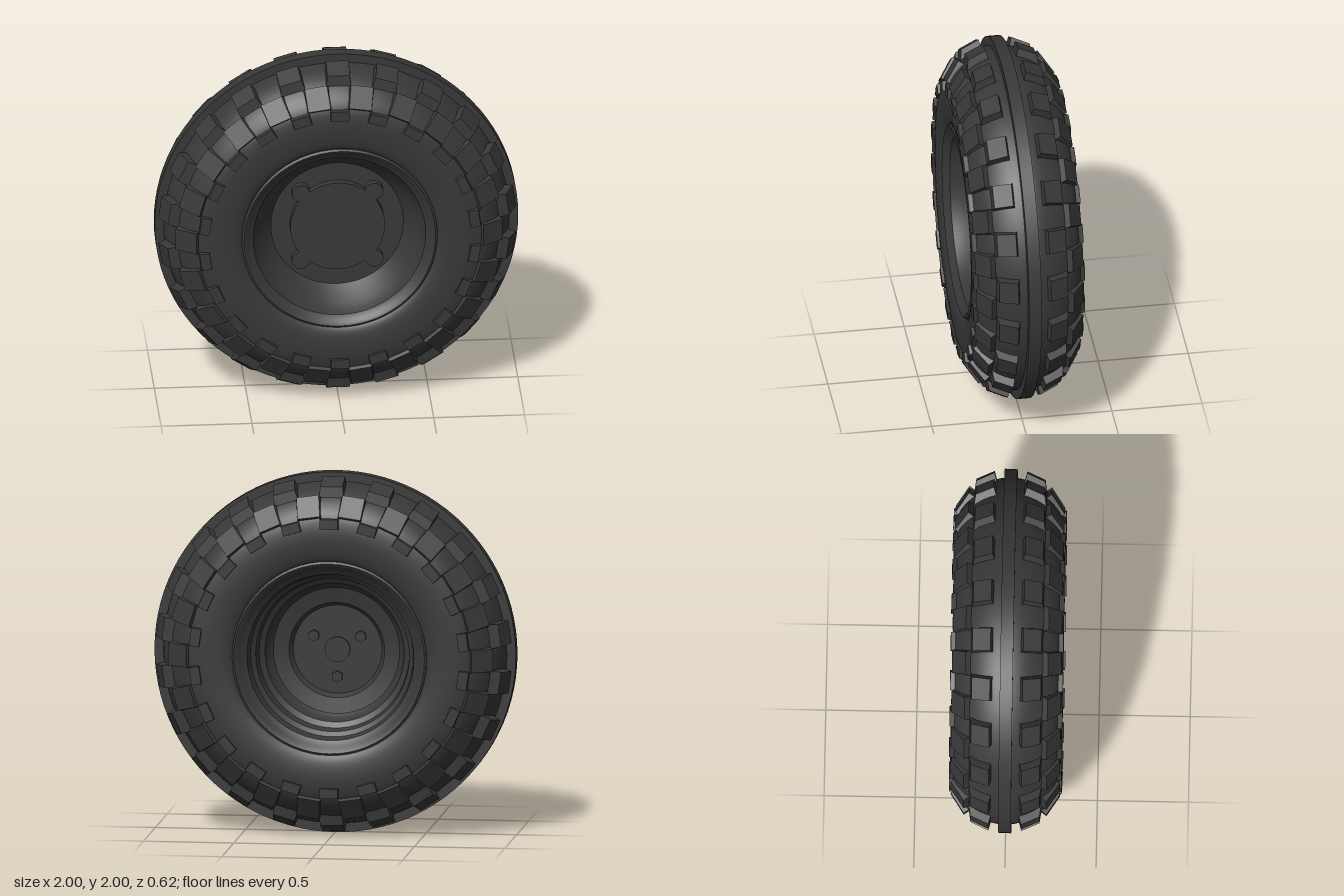
import * as THREE from 'three';
import { toCreasedNormals } from 'three/addons/utils/BufferGeometryUtils.js';

const rubber = new THREE.MeshStandardMaterial({ color: 0x383838 });
const BLOCKS = 22;

function add(parent, name, geometry) {
  const mesh = new THREE.Mesh(geometry, rubber);
  mesh.name = name;
  parent.add(mesh);
  return mesh;
}

// Revolve a profile of [radius, z] around the wheel axle (z)
function revolve(points, segments) {
  const profile = points.map(([r, z]) => new THREE.Vector2(r, z));
  return new THREE.LatheGeometry(profile, segments).rotateX(Math.PI / 2);
}

// Tread block at the top of the wheel: y = radius, inner and outer edges given as [r, z]
function treadBlock(outerA, outerB, baseA, baseB, halfWidth) {
  const g = new THREE.BoxGeometry(2, 2, 2);
  const p = g.attributes.position;
  for (let i = 0; i < p.count; i++) {
    const outer = p.getY(i) > 0;
    const [r, z] = p.getZ(i) > 0 ? (outer ? outerB : baseB) : (outer ? outerA : baseA);
    p.setXYZ(i, p.getX(i) * halfWidth * (outer ? 0.94 : 1.06), r, z);
  }
  const flat = g.toNonIndexed();
  flat.computeVertexNormals();
  return flat;
}

// Round cap outline with four ears on the diagonals
function capShape(R, earDistance, earRadius) {
  const shape = new THREE.Shape();
  const half = Math.acos((R * R + earDistance ** 2 - earRadius ** 2) / (2 * R * earDistance));
  const open = Math.atan2(R * Math.sin(half), R * Math.cos(half) - earDistance);
  for (let i = 0; i < 4; i++) {
    const a = Math.PI / 4 + i * Math.PI / 2;
    shape.absarc(earDistance * Math.cos(a), earDistance * Math.sin(a), earRadius, a - open, a + open, false);
    shape.absarc(0, 0, R, a + half, a + Math.PI / 2 - half, false);
  }
  return shape;
}

export function createModel() {
  const model = new THREE.Group();
  const wheel = new THREE.Group();
  wheel.name = 'wheel';
  wheel.position.y = 1;
  model.add(wheel);

  // Tyre carcass: smooth symmetric section from bead to bead
  const half = [[0.525, 0.255], [0.545, 0.28], [0.60, 0.296], [0.69, 0.3], [0.78, 0.283],
    [0.85, 0.235], [0.905, 0.165], [0.94, 0.085]];
  const section = [...half.map(([r, z]) => [r, -z]), [0.953, 0], ...half.slice().reverse()];
  const curve = new THREE.SplineCurve(section.map(([r, z]) => new THREE.Vector2(r, z)));
  add(wheel, 'tyre', revolve(curve.getPoints(48).map(v => [v.x, v.y]), 96));

  // Central rib around the tread
  const rib = revolve([[0.93, -0.035], [1, -0.035], [1, 0.035], [0.93, 0.035]], 96);
  add(wheel, 'centreRib', toCreasedNormals(rib, 0.6));

  // Three rows of blocks per side; the shoulder row is staggered by half a step
  const rows = [
    { name: 'treadBlock', offset: 0, g: treadBlock([0.985, 0.09], [0.94, 0.19], [0.92, 0.072], [0.865, 0.2], 0.066) },
    { name: 'shoulderBlock', offset: 0.5, g: treadBlock([0.9, 0.227], [0.79, 0.3], [0.88, 0.198], [0.765, 0.265], 0.066) },
    { name: 'sideBlock', offset: 0, g: treadBlock([0.775, 0.309], [0.72, 0.311], [0.78, 0.26], [0.715, 0.27], 0.053) },
  ];
  for (const flip of [0, 1]) {
    const side = new THREE.Group();
    side.name = flip ? 'backTread' : 'frontTread';
    side.rotation.y = flip * Math.PI;
    wheel.add(side);
    for (const row of rows) {
      for (let i = 0; i < BLOCKS; i++) {
        add(side, row.name, row.g).rotation.z = (i + row.offset) * 2 * Math.PI / BLOCKS;
      }
    }
  }

  // Rim: front lip, dish and plate, then the stepped barrel at the back
  const rim = revolve([
    [0.54, 0.25], [0.538, 0.28], [0.527, 0.287], [0.512, 0.28], [0.5, 0.262], [0.475, 0.25],
    [0.462, 0.22], [0.44, 0.18], [0.385, 0.105], [0.365, 0.08], [0, 0.08],
    [0, 0.07], [0.245, 0.07], [0.265, 0.035], [0.35, 0.02], [0.375, -0.01], [0.385, -0.06],
    [0.415, -0.08], [0.425, -0.15], [0.45, -0.17], [0.462, -0.235], [0.495, -0.255],
    [0.512, -0.28], [0.527, -0.287], [0.538, -0.28], [0.54, -0.25]], 64);
  add(wheel, 'rim', toCreasedNormals(rim, 0.6));

  // Eared hub cap on the front plate
  const cap = new THREE.ExtrudeGeometry(capShape(0.26, 0.285, 0.05),
    { depth: 0.045, bevelEnabled: false, curveSegments: 12 });
  add(wheel, 'hubCap', toCreasedNormals(cap, 0.6)).position.z = 0.075;

  // Hub boss and three hexagonal nuts on the back of the plate
  const boss = new THREE.CylinderGeometry(0.07, 0.07, 0.02, 32).rotateX(Math.PI / 2);
  add(wheel, 'hubBoss', boss).position.z = 0.066;
  const nut = new THREE.CylinderGeometry(0.032, 0.032, 0.04, 6).rotateX(Math.PI / 2);
  for (let i = 0; i < 3; i++) {
    const a = Math.PI / 6 + i * 2 * Math.PI / 3;
    const mesh = add(wheel, 'wheelNut', toCreasedNormals(nut, 0.6));
    mesh.position.set(0.15 * Math.cos(a), 0.15 * Math.sin(a), 0.065);
  }
  return model;
}
